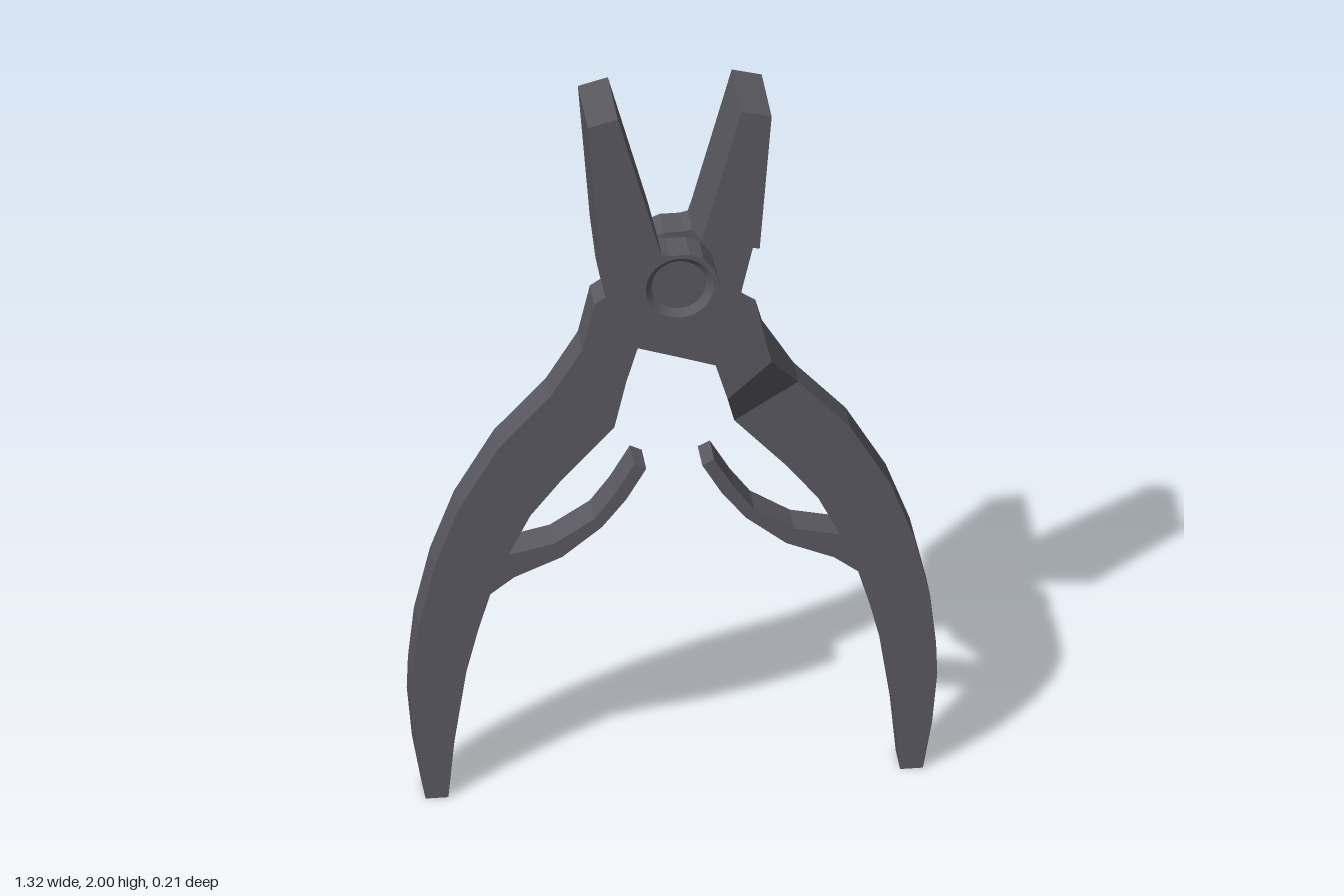
import * as THREE from 'three';
import { toCreasedNormals } from 'three/addons/utils/BufferGeometryUtils.js';

const steel = new THREE.MeshStandardMaterial({ color: 0x5a5860 });
steel.name = 'darkSteel';

const BACK = -0.103, FRONT = 0.103; // overall thickness
const A_BACK = 0.015, B_FRONT = -0.01; // faces either side of the pivot gap

// Prism from an outline of [x, y] or [x, y, back, front]; side = -1 mirrors it in x
function prism(name, points, back, front, side = 1, holeRadius = 0) {
  const pts = points.map(([x, y, b = back, f = front]) => ({ x: x * side, y, b, f }));
  const shape = new THREE.Shape(pts.map(p => new THREE.Vector2(p.x, p.y)));
  if (holeRadius) {
    const hole = new THREE.Path();
    hole.absarc(0, 1.5, holeRadius, 0, Math.PI * 2, true);
    shape.holes.push(hole);
  }
  const geo = new THREE.ExtrudeGeometry(shape, { depth: 1, bevelEnabled: false, curveSegments: 16 });
  const pos = geo.attributes.position;
  for (let i = 0; i < pos.count; i++) {
    const x = pos.getX(i), y = pos.getY(i);
    const p = pts.find(q => Math.abs(q.x - x) + Math.abs(q.y - y) < 1e-4) || { b: back, f: front };
    pos.setZ(i, pos.getZ(i) < 0.5 ? p.b : p.f);
  }
  geo.computeVertexNormals();
  const mesh = new THREE.Mesh(geo, steel);
  mesh.name = name;
  return mesh;
}

// Outlines for the half whose jaw is at -x and handle at +x
const JAW = [[-0.23, 1.98], [-0.155, 2], [-0.056, 1.635], [-0.2, 1.6]];
const PIVOT = [
  [-0.2, 1.55], [-0.045, 1.6], [-0.025, 1.595], [0.025, 1.595], [0.06, 1.58], [0.088, 1.547],
  [0.1, 1.5], [0.1, 1.47], [0.17, 1.42], [0.2, 1.4], [0.09, 1.27], [0, 1.3], [-0.155, 1.35], [-0.17, 1.42],
];
const HANDLE = [
  [0.15, 1.04], [0.31, 1.14], [0.44, 1], [0.54, 0.83], [0.6, 0.67], [0.64, 0.5], [0.655, 0.36], [0.658, 0.27],
  [0.645, 0.13], [0.622, 0], [0.565, 0], [0.55, 0.16], [0.52, 0.36], [0.49, 0.48], [0.46, 0.58],
  // spring arm
  [0.4, 0.625], [0.28, 0.675], [0.18, 0.755], [0.12, 0.83], [0.07, 0.915], [0.1, 0.93], [0.15, 0.845],
  [0.2, 0.778], [0.3, 0.715], [0.415, 0.69],
  [0.36, 0.8], [0.28, 0.9],
];

function createHalf(name, side, plateBack, plateFront) {
  const half = new THREE.Group();
  half.name = name;
  const isFront = side === 1;
  half.add(prism('jaw', JAW, BACK, FRONT, side));

  // Sloped step between the thick jaw and the thin pivot plate
  half.add(prism('jawStep', [
    [-0.2, 1.6, BACK, FRONT], [-0.056, 1.635, BACK, FRONT],
    [-0.045, 1.6, plateBack, plateFront], [-0.2, 1.55, plateBack, plateFront],
  ], BACK, FRONT, side));

  half.add(prism('pivotPlate', PIVOT, plateBack, plateFront, side, isFront ? 0.085 : 0));

  // Neck: the front half is cranked back to the plane of the handles
  const neckFront = isFront ? FRONT : B_FRONT;
  half.add(prism('upperNeck', [
    [0.2, 1.4, plateBack, plateFront], [0.09, 1.27, plateBack, plateFront],
    [0.12, 1.17], [0.23, 1.27],
  ], BACK, neckFront, side));
  half.add(prism('lowerNeck', [
    [0.23, 1.27, BACK, neckFront], [0.12, 1.17, BACK, neckFront], [0.15, 1.04], [0.31, 1.14],
  ], BACK, B_FRONT, side));

  half.add(prism('handle', HANDLE, BACK, B_FRONT, side));
  return half;
}

export function createModel() {
  const model = new THREE.Group();
  model.name = 'pliers';
  model.add(createHalf('frontHalf', 1, A_BACK, FRONT));
  model.add(createHalf('backHalf', -1, BACK, B_FRONT));

  // Pivot with a dished head set into the front plate and a pin across the gap
  const profile = [
    [0, -0.02], [0.053, -0.02], [0.053, A_BACK], [0.085, A_BACK],
    [0.085, FRONT], [0.068, FRONT - 0.018], [0, FRONT - 0.018],
  ].map(([r, h]) => new THREE.Vector2(r, h));
  const lathe = new THREE.LatheGeometry(profile, 32).rotateX(Math.PI / 2);
  const pivot = new THREE.Mesh(toCreasedNormals(lathe, 0.5), steel);
  pivot.name = 'pivotPin';
  pivot.position.y = 1.5;
  model.add(pivot);
  return model;
}
